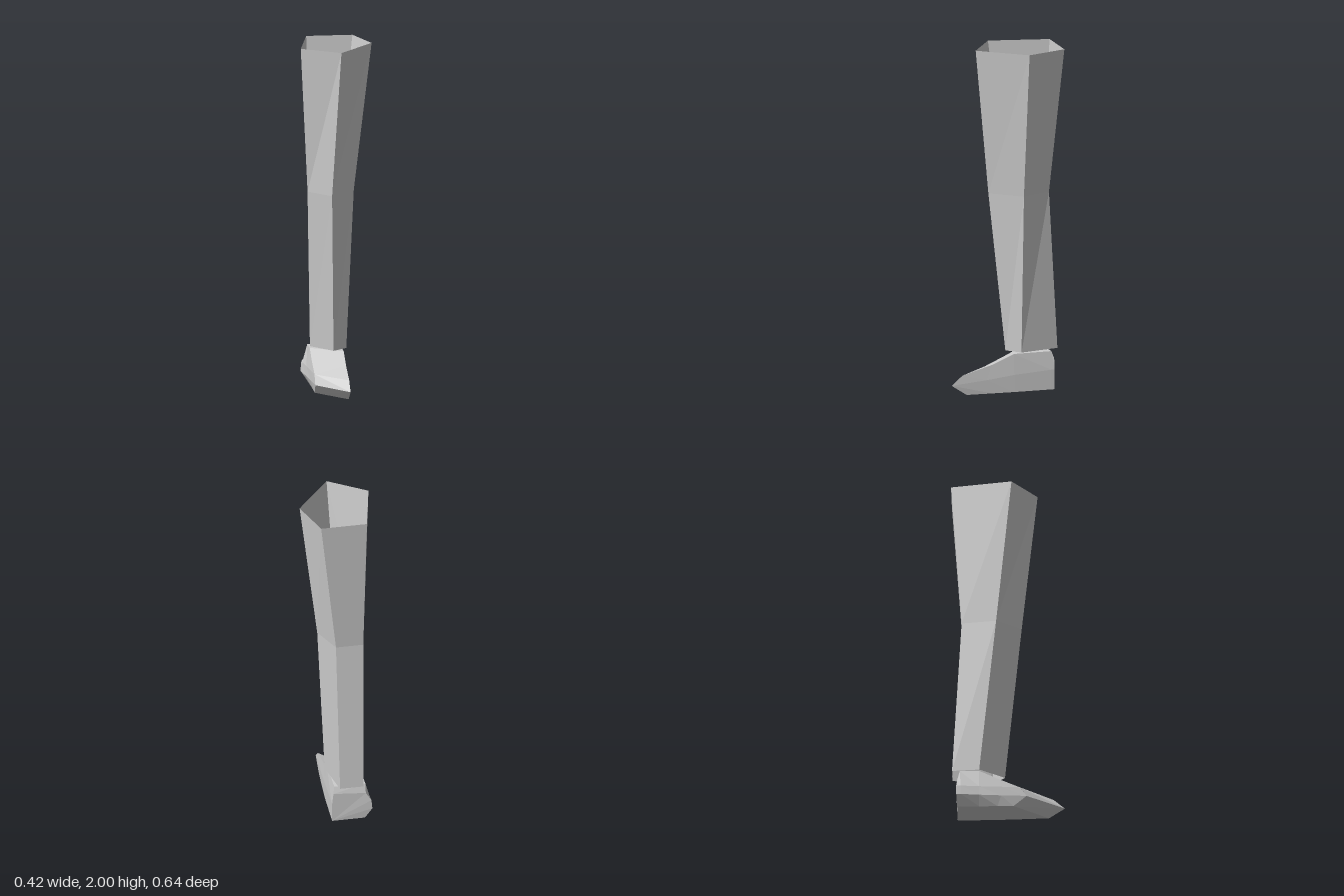
import * as THREE from 'three';

// Skins equal-length rings of [x, y, z] points; caps are lists of [ring, point] corners
function loft(rings, caps, material, name) {
  const pos = [];
  const tri = (a, b, c) => pos.push(...a, ...b, ...c);
  for (let i = 0; i < rings.length - 1; i++) {
    const n = rings[i].length;
    for (let k = 0; k < n; k++) {
      const a = rings[i][k], b = rings[i][(k + 1) % n];
      const d = rings[i + 1][k], c = rings[i + 1][(k + 1) % n];
      tri(a, d, b);
      tri(b, d, c);
    }
  }
  for (const cap of caps) {
    const p = cap.map(([r, k]) => rings[r][k]);
    for (let k = 1; k < p.length - 1; k++) tri(p[0], p[k], p[k + 1]);
  }
  const geometry = new THREE.BufferGeometry();
  geometry.setAttribute('position', new THREE.Float32BufferAttribute(pos, 3));
  geometry.computeVertexNormals();
  const mesh = new THREE.Mesh(geometry, material);
  mesh.name = name;
  return mesh;
}

export function createModel() {
  const model = new THREE.Group();
  model.name = 'lowPolyLeg';
  const grey = new THREE.MeshStandardMaterial({ color: 0xcccccc, flatShading: true, side: THREE.DoubleSide });
  grey.name = 'light grey';

  // Open five-sided leg: hip, knee and ankle rings (x, z)
  const ring = (y, pts) => pts.map(([x, z]) => [x, y, z]);
  const leg = [
    ring(2, [[0.005, 0.165], [0.21, -0.09], [0.13, -0.325], [-0.135, -0.325], [-0.21, 0.02]]),
    ring(1.15, [[-0.037, 0.075], [0.108, -0.09], [0.033, -0.265], [-0.125, -0.265], [-0.16, -0.068]]),
    ring(0.23, [[-0.017, -0.02], [0.065, -0.09], [0.02, -0.32], [-0.115, -0.32], [-0.132, -0.165]]),
  ];
  model.add(loft(leg, [], grey, 'leg'));

  // Closed foot, heel to toe. Each ring: inner sole, outer sole, bulge,
  // outer shoulder, outer top, inner top, inner side
  const foot = [
    [[0.06, 0, -0.29], [-0.13, 0, -0.29], [-0.172, 0.06, -0.295], [-0.167, 0.115, -0.295],
      [-0.135, 0.165, -0.29], [0.052, 0.18, -0.29], [0.06, 0.115, -0.29]],
    [[0.06, 0, -0.27], [-0.13, 0, -0.27], [-0.17, 0.06, -0.27], [-0.165, 0.115, -0.27],
      [-0.135, 0.22, -0.275], [0.045, 0.22, -0.275], [0.06, 0.115, -0.27]],
    [[0.055, 0, -0.05], [-0.13, 0, -0.165], [-0.158, 0.06, -0.165], [-0.154, 0.115, -0.165],
      [-0.135, 0.22, -0.165], [0.045, 0.22, -0.05], [0.055, 0.1, -0.05]],
    [[0.048, 0, 0.08], [-0.13, 0, -0.06], [-0.147, 0.06, -0.04], [-0.145, 0.115, -0.04],
      [-0.137, 0.165, -0.05], [0.042, 0.165, 0.08], [0.048, 0.08, 0.11]],
    [[0.038, 0, 0.23], [-0.13, 0, 0.03], [-0.137, 0.06, 0.105], [-0.137, 0.114, 0.065],
      [-0.137, 0.115, 0.065], [0.038, 0.115, 0.255], [0.038, 0.06, 0.32]],
  ];
  const caps = [
    [0, 1, 2, 3, 4, 5, 6].map((k) => [0, k]), // heel
    [6, 2, 1, 0].map((k) => [4, k]), // under the toe
    [6, 5, 4, 2].map((k) => [4, k]), // over the toe
  ];
  model.add(loft(foot, caps, grey, 'foot'));
  return model;
}
